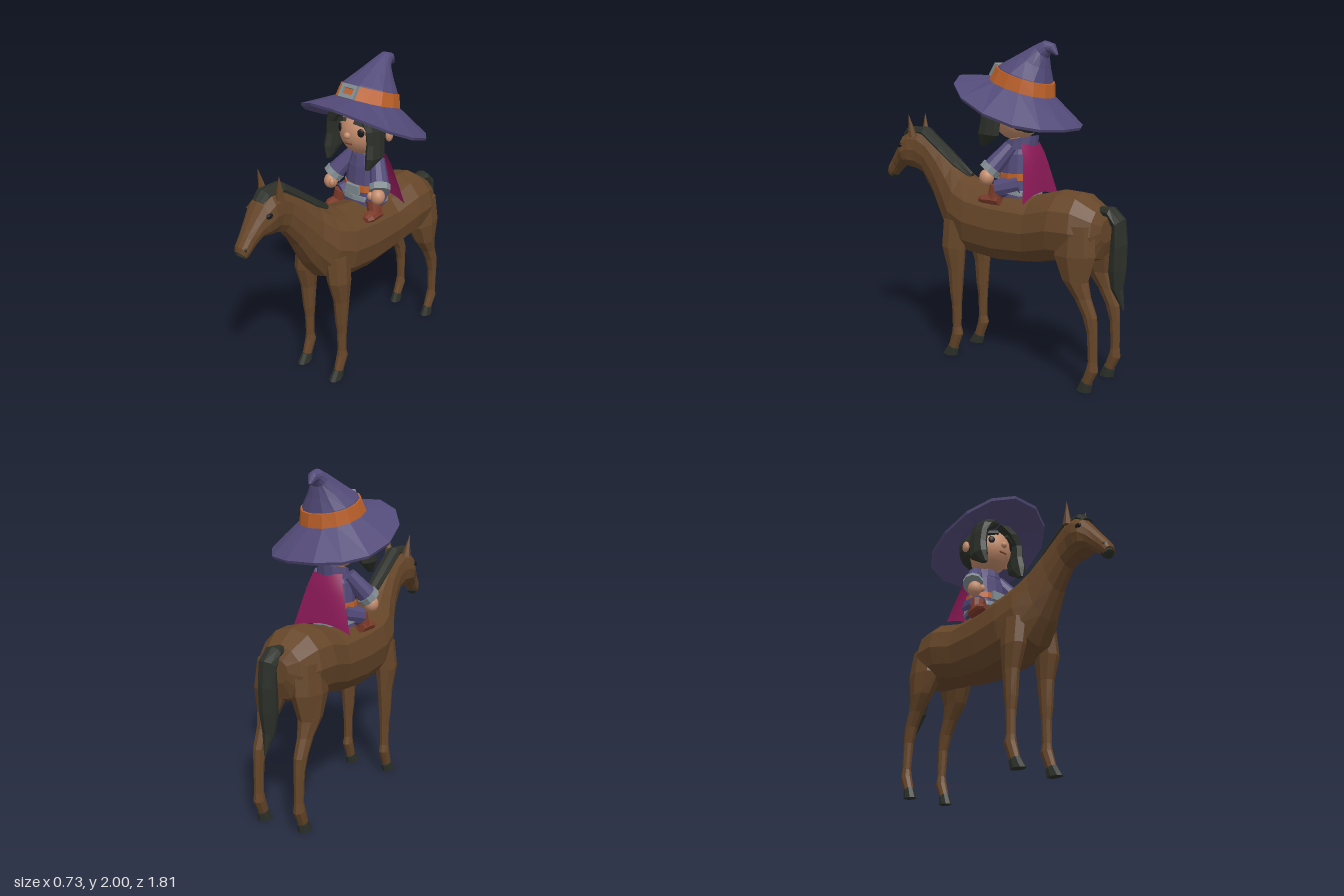
import * as THREE from 'three';

const material = (name, color) => {
  const m = new THREE.MeshStandardMaterial({ color });
  m.name = name;
  return m;
};

export function createModel() {
  const brown = material('coat brown', 0x664629);
  const dark = material('dark hair', 0x2c3029);
  const purple = material('purple cloth', 0x524a78);
  const orange = material('orange leather', 0xbd6129);
  const magenta = material('magenta cloth', 0x8c1a58);
  magenta.side = THREE.DoubleSide;
  const grey = material('grey trim', 0x828d92);
  const skin = material('skin', 0xc48c6c);
  const boot = material('red brown boots', 0x7c3b2a);
  const black = material('eye black', 0x17171a);

  const model = new THREE.Group();
  const horse = new THREE.Group();
  horse.name = 'horse';
  const rider = new THREE.Group();
  rider.name = 'rider';
  model.add(horse, rider);

  const add = (parent, name, geo, mat, pos = [0, 0, 0], rot = [0, 0, 0], scale = [1, 1, 1]) => {
    const m = new THREE.Mesh(geo, mat);
    m.name = name;
    m.position.set(...pos);
    m.rotation.set(...rot);
    m.scale.set(...scale);
    parent.add(m);
    return m;
  };
  const flat = (geo) => {
    const g = geo.index ? geo.toNonIndexed() : geo;
    g.computeVertexNormals();
    return g;
  };

  // Closed skin over rings; each ring is [halfWidth, zA, yA, zB, yB, x, sag],
  // where A and B are its two ends in the side profile.
  const loft = (rings, n = 10, side = 1) => {
    const pos = [], idx = [];
    const bend = (v) => Math.sign(v) * Math.abs(v) ** 0.92;
    for (const [w, zA, yA, zB, yB, x = 0, sag = 0] of rings) {
      for (let j = 0; j < n; j++) {
        const t = (j / n) * Math.PI * 2, c = bend(Math.cos(t)), s = bend(Math.sin(t));
        pos.push(side * x + w * c,
          (yA + yB) / 2 + (s * (yA - yB)) / 2 - sag * c * c,
          (zA + zB) / 2 + (s * (zA - zB)) / 2);
      }
    }
    for (let i = 0; i < rings.length - 1; i++) {
      for (let j = 0; j < n; j++) {
        const k = (j + 1) % n, a = i * n + j, b = i * n + k, c = a + n, d = b + n;
        idx.push(a, b, d, a, d, c);
      }
    }
    const last = (rings.length - 1) * n;
    for (let j = 1; j < n - 1; j++) idx.push(0, j + 1, j, last, last + j, last + j + 1);
    // Turn the faces outward
    const p = (i) => new THREE.Vector3(pos[i * 3], pos[i * 3 + 1] - 1, pos[i * 3 + 2]);
    let volume = 0;
    for (let i = 0; i < idx.length; i += 3) volume += p(idx[i]).dot(p(idx[i + 1]).cross(p(idx[i + 2])));
    if (volume < 0) idx.reverse();
    const g = new THREE.BufferGeometry();
    g.setAttribute('position', new THREE.Float32BufferAttribute(pos, 3));
    g.setIndex(idx);
    return flat(g);
  };

  // Tapered limb between two points
  const limb = (parent, name, a, b, rA, rB, mat) => {
    const from = new THREE.Vector3(...a), to = new THREE.Vector3(...b), dir = to.clone().sub(from);
    const m = add(parent, name, flat(new THREE.CylinderGeometry(rB, rA, dir.length(), 10)), mat,
      from.clone().add(to).multiplyScalar(0.5).toArray());
    m.quaternion.setFromUnitVectors(new THREE.Vector3(0, 1, 0), dir.normalize());
    return m;
  };
  const ball = new THREE.SphereGeometry(1, 16, 12);

  // Horse trunk, neck and head
  add(horse, 'horseBody', loft([
    [0.08, -0.775, 1.0, -0.775, 0.86], [0.15, -0.74, 1.065, -0.745, 0.76],
    [0.205, -0.62, 1.14, -0.64, 0.72], [0.217, -0.5, 1.145, -0.47, 0.715],
    [0.195, -0.31, 1.095, -0.3, 0.675], [0.2, -0.05, 1.115, -0.08, 0.655],
    [0.2, 0.12, 1.14, 0.15, 0.675], [0.175, 0.22, 1.175, 0.31, 0.74],
    [0.125, 0.31, 1.235, 0.4, 0.87], [0.09, 0.42, 1.32, 0.49, 1.03],
    [0.075, 0.52, 1.395, 0.58, 1.15], [0.08, 0.6, 1.44, 0.64, 1.175],
    [0.092, 0.68, 1.44, 0.68, 1.18], [0.095, 0.745, 1.4, 0.715, 1.19],
    [0.075, 0.79, 1.335, 0.755, 1.195], [0.055, 0.86, 1.24, 0.8, 1.16],
    [0.05, 0.898, 1.185, 0.845, 1.12], [0.042, 0.905, 1.155, 0.865, 1.105],
  ], 12), brown);
  add(horse, 'mouth', loft([
    [0.04, 0.9, 1.15, 0.835, 1.12], [0.036, 0.907, 1.135, 0.855, 1.1], [0.026, 0.895, 1.12, 0.865, 1.095],
  ], 8), dark);

  // Mane along the crest and tail
  add(horse, 'mane', loft([
    [0.02, 0.19, 1.185, 0.2, 1.13], [0.045, 0.3, 1.265, 0.33, 1.2], [0.05, 0.42, 1.355, 0.45, 1.29],
    [0.05, 0.565, 1.46, 0.585, 1.39], [0.05, 0.71, 1.458, 0.68, 1.4], [0.04, 0.755, 1.41, 0.72, 1.38],
  ], 8), dark);
  add(horse, 'tail', loft([
    [0.035, -0.73, 1.02, -0.73, 1.07], [0.055, -0.79, 1.01, -0.805, 1.075], [0.057, -0.815, 0.95, -0.88, 1.01],
    [0.055, -0.8, 0.82, -0.9, 0.87], [0.05, -0.79, 0.7, -0.9, 0.72], [0.036, -0.81, 0.6, -0.885, 0.6],
    [0.005, -0.885, 0.48, -0.895, 0.48],
  ], 8), dark);

  for (const s of [1, -1]) {
    const label = s > 0 ? 'left' : 'right';
    // Legs and hooves
    add(horse, label + 'FrontLeg', loft([
      [0.07, 0.32, 0.9, 0.14, 0.9, 0.115], [0.064, 0.32, 0.73, 0.155, 0.72, 0.138],
      [0.045, 0.275, 0.58, 0.165, 0.58, 0.14], [0.038, 0.26, 0.42, 0.18, 0.42, 0.14],
      [0.03, 0.248, 0.34, 0.185, 0.34, 0.14], [0.027, 0.245, 0.2, 0.188, 0.2, 0.14],
      [0.033, 0.25, 0.16, 0.175, 0.15, 0.14], [0.028, 0.28, 0.065, 0.215, 0.05, 0.14],
    ], 8, s), brown);
    add(horse, label + 'FrontHoof', loft([
      [0.03, 0.285, 0.068, 0.21, 0.045, 0.14], [0.036, 0.33, 0, 0.22, 0, 0.14],
    ], 8, s), dark);
    add(horse, label + 'HindLeg', loft([
      [0.08, -0.52, 0.97, -0.75, 0.97, 0.11], [0.09, -0.5, 0.79, -0.768, 0.8, 0.122],
      [0.062, -0.57, 0.655, -0.735, 0.65, 0.14], [0.044, -0.655, 0.55, -0.752, 0.56, 0.14],
      [0.038, -0.705, 0.46, -0.795, 0.45, 0.14], [0.031, -0.738, 0.36, -0.8, 0.36, 0.14],
      [0.027, -0.748, 0.19, -0.803, 0.19, 0.14], [0.033, -0.738, 0.145, -0.81, 0.13, 0.14],
      [0.028, -0.71, 0.065, -0.77, 0.05, 0.14],
    ], 8, s), brown);
    add(horse, label + 'HindHoof', loft([
      [0.03, -0.705, 0.068, -0.777, 0.045, 0.14], [0.036, -0.675, 0, -0.77, 0, 0.14],
    ], 8, s), dark);
    // Ears, eyes and nostrils
    add(horse, label + 'HorseEar', flat(new THREE.ConeGeometry(0.032, 0.15, 6)), brown,
      [s * 0.074, 1.47, 0.645], [0.12, 0, -s * 0.12], [1, 1, 0.8]);
    add(horse, label + 'HorseEye', ball, black, [s * 0.083, 1.335, 0.735], [0, 0, 0], [0.012, 0.016, 0.022]);
    add(horse, label + 'Nostril', ball, dark, [s * 0.038, 1.17, 0.88], [0, 0, 0], [0.009, 0.013, 0.009]);
  }

  // Tunic, hem, belt, collar and neck
  add(rider, 'tunic', loft([
    [0.14, -0.06, 1.08, -0.29, 1.08], [0.132, -0.065, 1.2, -0.285, 1.2],
    [0.118, -0.08, 1.34, -0.27, 1.34], [0.075, -0.1, 1.42, -0.25, 1.42],
  ], 12), purple);
  add(rider, 'tunicHem', loft([[0.15, -0.045, 1.13, -0.3, 1.085], [0.148, -0.047, 1.16, -0.298, 1.115]], 12), grey);
  add(rider, 'belt', loft([[0.138, -0.055, 1.185, -0.292, 1.185], [0.136, -0.058, 1.225, -0.29, 1.225]], 12), orange);
  add(rider, 'beltBuckle', new THREE.BoxGeometry(0.1, 0.06, 0.02), grey, [0, 1.2, -0.05]);
  add(rider, 'collar', loft([[0.1, -0.08, 1.36, -0.28, 1.37], [0.085, -0.09, 1.41, -0.29, 1.45]], 12), purple);
  add(rider, 'neck', new THREE.CylinderGeometry(0.06, 0.06, 0.14, 12), skin, [0, 1.44, -0.17]);

  // Cape as a flared, slightly curved sheet
  const cape = new THREE.PlaneGeometry(2, 1, 8, 5);
  const cp = cape.attributes.position;
  for (let i = 0; i < cp.count; i++) {
    const u = cp.getX(i), v = 0.5 - cp.getY(i);
    cp.setXYZ(i, u * (0.1 + 0.1 * v), 1.4 - v * (0.29 + 0.05 * u * u), -0.275 - 0.05 * Math.sqrt(v) + 0.03 * u * u * (1 - v));
  }
  cape.computeVertexNormals();
  add(rider, 'cape', cape, magenta);

  // Head, nose, mouth and back hair
  add(rider, 'head', ball, skin, [0, 1.57, -0.15], [0, 0, 0], [0.142, 0.155, 0.155]);
  add(rider, 'nose', ball, skin, [0, 1.565, 0.0], [0, 0, 0], [0.022, 0.022, 0.024]);
  add(rider, 'mouthLine', new THREE.BoxGeometry(0.055, 0.007, 0.008), boot, [0, 1.512, -0.007]);
  add(rider, 'backHair', flat(new THREE.SphereGeometry(1, 14, 9)), dark, [0, 1.595, -0.215], [0, 0, 0], [0.168, 0.14, 0.15]);

  for (const s of [1, -1]) {
    const label = s > 0 ? 'left' : 'right';
    // Face and side locks
    add(rider, label + 'Eye', ball, black, [s * 0.08, 1.59, -0.028], [0, s * 0.5, 0], [0.022, 0.026, 0.01]);
    add(rider, label + 'Eyebrow', new THREE.BoxGeometry(0.075, 0.024, 0.022), dark, [s * 0.07, 1.645, -0.03], [-0.3, s * 0.45, -s * 0.12]);
    add(rider, label + 'Ear', ball, skin, [s * 0.178, 1.56, -0.175], [0, 0, 0], [0.02, 0.038, 0.028]);
    add(rider, label + 'HairLock', loft([
      [0.07, -0.01, 1.74, -0.16, 1.74, 0.06], [0.055, 0.01, 1.69, -0.16, 1.69, 0.115],
      [0.036, 0.01, 1.62, -0.15, 1.62, 0.153], [0.036, 0.005, 1.54, -0.14, 1.54, 0.16],
      [0.04, 0.02, 1.46, -0.13, 1.45, 0.165], [0.012, 0.015, 1.385, -0.03, 1.385, 0.155],
    ], 8, s), dark);
    // Arms
    limb(rider, label + 'Sleeve', [s * 0.095, 1.385, -0.17], [s * 0.18, 1.255, -0.09], 0.045, 0.06, purple);
    limb(rider, label + 'Cuff', [s * 0.175, 1.265, -0.095], [s * 0.192, 1.235, -0.075], 0.066, 0.066, grey);
    add(rider, label + 'Hand', ball, skin, [s * 0.19, 1.2, -0.06], [0, 0, 0], [0.044, 0.05, 0.046]);
    add(rider, label + 'Thumb', ball, skin, [s * 0.155, 1.205, -0.03], [0, 0, 0], [0.018, 0.026, 0.02]);
    // Legs and boots
    limb(rider, label + 'Leg', [s * 0.075, 1.16, -0.22], [s * 0.135, 1.125, -0.09], 0.07, 0.055, purple);
    limb(rider, label + 'BootShaft', [s * 0.13, 1.14, -0.1], [s * 0.148, 1.06, -0.085], 0.05, 0.042, boot);
    add(rider, label + 'BootFoot', loft([
      [0.036, -0.13, 1.09, -0.13, 1.03, 0.15], [0.042, -0.07, 1.1, -0.07, 1.03, 0.15],
      [0.044, -0.02, 1.09, -0.02, 1.035, 0.155], [0.026, 0.012, 1.075, 0.012, 1.04, 0.155],
    ], 8, s), boot);
  }

  // Hat with a tilted, drooping brim and a curled tip
  add(rider, 'hat', loft([
    [0.17, -0.03, 1.745, -0.37, 1.63], [0.36, 0.222, 1.79, -0.54, 1.485, 0, 0.06],
    [0.366, 0.226, 1.808, -0.546, 1.5, 0, 0.06], [0.185, 0, 1.795, -0.375, 1.67],
    [0.165, -0.055, 1.868, -0.368, 1.755], [0.1, -0.185, 1.93, -0.362, 1.835],
    [0.055, -0.29, 1.98, -0.36, 1.9], [0.04, -0.345, 2.0, -0.375, 1.925],
    [0.028, -0.405, 1.982, -0.392, 1.925], [0.008, -0.432, 1.92, -0.415, 1.913],
  ], 14), purple);
  add(rider, 'hatBand', loft([
    [0.192, 0.008, 1.79, -0.382, 1.668], [0.176, -0.04, 1.865, -0.378, 1.748],
  ], 14), orange);

  // Hat buckle frame
  const rect = (path, w, h) => path.moveTo(-w, -h).lineTo(w, -h).lineTo(w, h).lineTo(-w, h).closePath() || path;
  const outline = new THREE.Shape(), hole = new THREE.Path();
  rect(outline, 0.057, 0.042);
  rect(hole, 0.037, 0.019);
  outline.holes.push(hole);
  add(rider, 'hatBuckle', new THREE.ExtrudeGeometry(outline, { depth: 0.02, bevelEnabled: false }), grey,
    [0, 1.828, -0.018], [-0.57, 0, 0]);

  return model;
}
